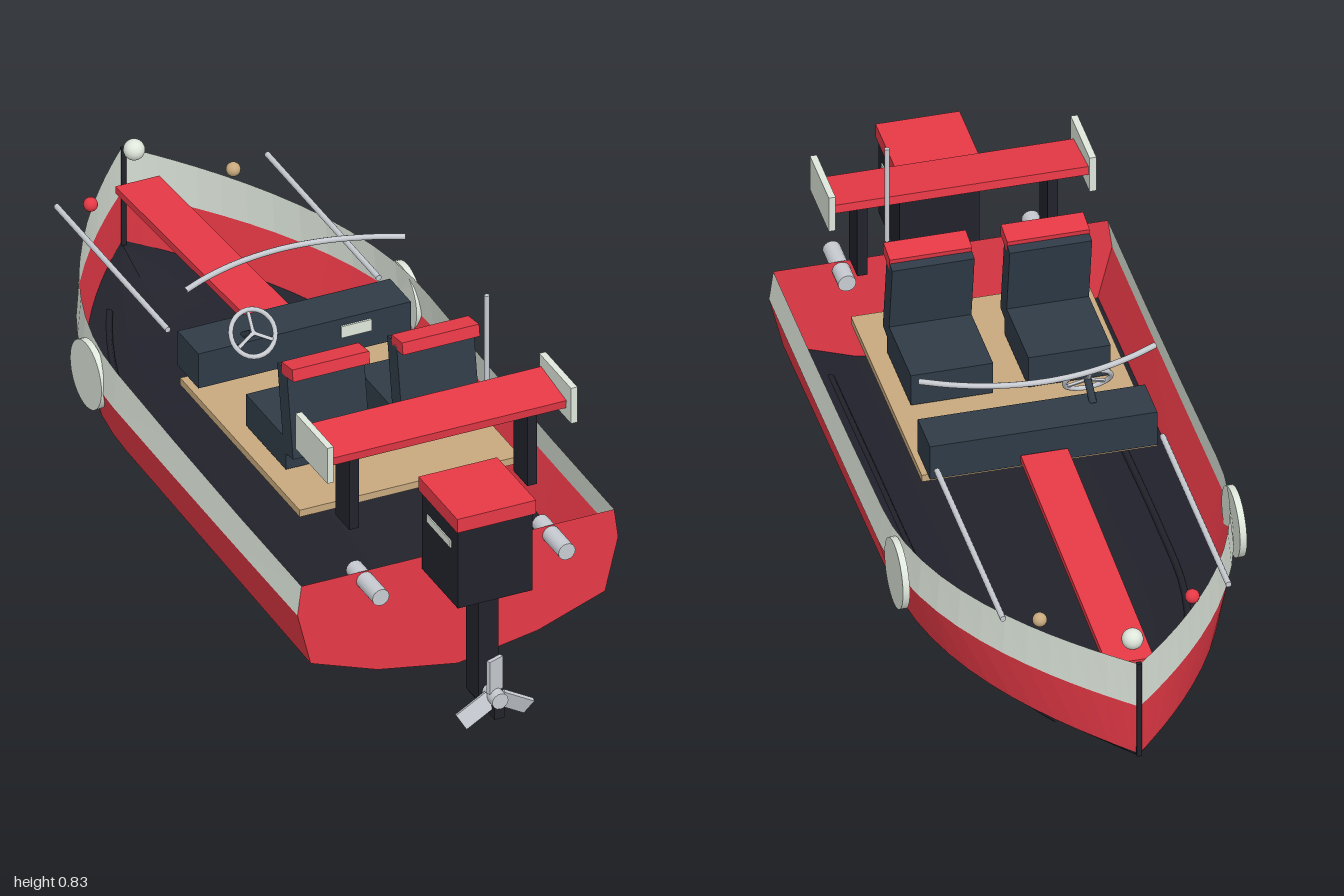
import * as THREE from 'three';

const mat = (name, color, side = THREE.FrontSide) => {
  const m = new THREE.MeshStandardMaterial({ color, side });
  m.name = name;
  return m;
};

export function createModel() {
  const red = mat('red', 0xe63946, THREE.DoubleSide);
  const white = mat('offWhite', 0xf1faee, THREE.DoubleSide);
  const black = mat('black', 0x22222c, THREE.DoubleSide);
  const slate = mat('slate', 0x2f3b47);
  const tan = mat('tan', 0xc8a97e);
  const metal = mat('metal', 0xc8ccd2);

  const boat = new THREE.Group();
  boat.name = 'speedboat';
  const add = (name, geo, material, x = 0, y = 0, z = 0, parent = boat) => {
    const m = new THREE.Mesh(geo, material);
    m.name = name;
    m.position.set(x, y, z);
    parent.add(m);
    return m;
  };
  // box given by its minimum and maximum on each axis
  const box = (name, material, x0, x1, y0, y1, z0, z1, parent = boat) =>
    add(name, new THREE.BoxGeometry(x1 - x0, y1 - y0, z1 - z0), material,
      (x0 + x1) / 2, (y0 + y1) / 2, (z0 + z1) / 2, parent);
  const rodZ = (name, material, r, x, y, z0, z1, sides = 16) => {
    const m = add(name, new THREE.CylinderGeometry(r, r, z1 - z0, sides), material, x, y, (z0 + z1) / 2);
    m.rotation.x = Math.PI / 2;
    return m;
  };

  // Hull: half section from gunwale to keel at any z
  const STERN = 0.775;
  const section = (z) => {
    const u = (STERN - z) / (STERN + 1);
    const t = Math.max(0, (-0.2 - z) / 0.8);
    const w = Math.max(0.006, 1 - t ** 2.05);
    const s = Math.max(0, (-0.65 - z) / 0.35);
    const keel = 0.045 + 0.045 * u + 0.08 * s ** 1.7;
    const chine = 0.14 + 0.04 * u;
    return [
      [0.39 * w, 0.35 + 0.078 * u * u],
      [0.4 * w, 0.275 + 0.035 * u * u],
      [0.367 * w, chine],
      [0.2 * w, chine + (keel - chine) * 0.63],
      [0, keel],
    ];
  };
  const stations = [STERN, 0.45, 0.1, -0.2];
  for (let i = 1; i <= 16; i++) stations.push(-0.2 - 0.8 * Math.sin((i / 16) * Math.PI / 2));
  const band = (name, material, from, to) => {
    const pos = [];
    for (const side of [1, -1]) {
      for (let i = 0; i < stations.length - 1; i++) {
        for (let j = from; j < to; j++) {
          const p = (k, n) => {
            const q = section(stations[k])[n];
            return [q[0] * side, q[1], stations[k]];
          };
          const [a, b, c, d] = [p(i, j), p(i, j + 1), p(i + 1, j + 1), p(i + 1, j)];
          const tris = side > 0 ? [a, b, c, a, c, d] : [a, c, b, a, d, c];
          pos.push(...tris.flat());
        }
      }
    }
    const g = new THREE.BufferGeometry();
    g.setAttribute('position', new THREE.Float32BufferAttribute(pos, 3));
    g.computeVertexNormals();
    add(name, g, material);
  };
  band('gunwaleBand', white, 0, 1);
  band('hullSides', red, 1, 2);
  band('hullBottom', black, 2, 4);

  // Transom closes the stern
  const half = section(STERN);
  const outline = [...half, ...half.slice(0, 4).reverse().map(([x, y]) => [-x, y])];
  const transom = new THREE.Shape(outline.map(([x, y]) => new THREE.Vector2(x, y)));
  add('transom', new THREE.ShapeGeometry(transom), red, 0, 0, STERN);
  box('stem', black, -0.006, 0.006, 0.172, 0.428, -1, -0.99);

  // Cockpit floor, foredeck stripe and dashboard
  box('cockpitFloor', tan, -0.275, 0.275, 0.363, 0.381, -0.11, 0.522);
  const stripe = add('foredeckStripe', new THREE.BoxGeometry(0.11, 0.018, 0.77), red, 0, 0.394, -0.535);
  stripe.rotation.x = -0.057;
  box('dashboard', slate, -0.265, 0.265, 0.392, 0.483, -0.145, -0.035);
  box('dashPanel', white, 0.09, 0.165, 0.435, 0.465, -0.036, -0.03);

  // Steering wheel
  const wheel = new THREE.Group();
  wheel.name = 'steeringWheel';
  wheel.position.set(-0.135, 0.512, -0.022);
  wheel.rotation.x = -0.6;
  boat.add(wheel);
  add('wheelRim', new THREE.TorusGeometry(0.054, 0.006, 8, 28), metal, 0, 0, 0, wheel);
  for (let i = 0; i < 3; i++) {
    const a = Math.PI / 2 + i * Math.PI * 2 / 3;
    const spoke = box('wheelSpoke', metal, -0.026, 0.026, -0.004, 0.004, -0.003, 0.003, wheel);
    spoke.position.set(Math.cos(a) * 0.026, Math.sin(a) * 0.026, 0);
    spoke.rotation.z = a;
  }
  const column = add('wheelColumn', new THREE.CylinderGeometry(0.009, 0.009, 0.06, 12), slate, 0, 0, -0.03, wheel);
  column.rotation.x = Math.PI / 2;

  // Curved windscreen rail
  const arc = new THREE.CatmullRomCurve3([-1, -0.75, -0.4, 0, 0.4, 0.75, 1].map(
    (k) => new THREE.Vector3(0.275 * k, 0.625, -0.157 + 0.072 * k * k)));
  add('windscreenRail', new THREE.TubeGeometry(arc, 32, 0.007, 8), metal);

  // Seats
  for (const s of [1, -1]) {
    const seat = new THREE.Group();
    seat.name = 'seat';
    seat.position.x = 0.137 * s;
    boat.add(seat);
    box('seatCushion', slate, -0.096, 0.096, 0.388, 0.47, 0.148, 0.36, seat);
    const back = add('seatBack', new THREE.BoxGeometry(0.192, 0.22, 0.05), slate, 0, 0.54, 0.356, seat);
    back.rotation.x = -0.16;
    const head = add('headrest', new THREE.BoxGeometry(0.192, 0.03, 0.058), red, 0, 0.65, 0.367, seat);
    head.rotation.x = -0.16;
  }

  // Stern arch with end plates and antenna
  const bar = add('archBar', new THREE.BoxGeometry(0.6, 0.021, 0.135), red, 0, 0.63, 0.653);
  bar.rotation.x = 0.12;
  for (const s of [1, -1]) {
    const post = box('archPost', black, -0.012, 0.012, 0.415, 0.622, 0.623, 0.697);
    post.position.x = 0.222 * s;
    const plate = box('archEndPlate', white, -0.008, 0.008, 0.585, 0.678, 0.578, 0.746);
    plate.position.x = 0.304 * s;
  }
  add('antenna', new THREE.CylinderGeometry(0.006, 0.006, 0.255, 10), metal, 0.19, 0.703, 0.525);

  // Paired hull fittings
  for (const s of [1, -1]) {
    rodZ('bowRail', metal, 0.007, 0.263 * s, 0.455, -0.79, -0.2, 10);
    rodZ('exhaustPipe', metal, 0.021, 0.232 * s, 0.326, 0.72, 0.86);
    const disc = add('sideDisc', new THREE.CylinderGeometry(0.083, 0.083, 0.016, 32), white, 0.393 * s, 0.294, -0.342);
    disc.rotation.z = Math.PI / 2;
    add('navLight', new THREE.SphereGeometry(0.017, 16, 12), s > 0 ? tan : red, 0.178 * s, 0.438, -0.79);
    const path = [0.67, 0.3, -0.1, -0.35, -0.55, -0.7, -0.78].map((z) => {
      const [, , c, l] = section(z);
      return new THREE.Vector3((c[0] + l[0]) / 2 * s, (c[1] + l[1]) / 2 - 0.003, z);
    });
    add('strake', new THREE.TubeGeometry(new THREE.CatmullRomCurve3(path), 24, 0.009, 6), black);
  }
  add('bowLight', new THREE.SphereGeometry(0.025, 20, 14), white, 0, 0.455, -0.937);

  // Outboard motor
  box('motorBody', black, -0.093, 0.093, 0.323, 0.53, 0.783, 0.972);
  box('motorCap', red, -0.098, 0.098, 0.528, 0.564, 0.775, 0.98);
  for (const s of [1, -1]) {
    const label = box('motorLabel', white, -0.002, 0.002, 0.465, 0.484, 0.812, 0.938);
    label.position.x = 0.094 * s;
  }
  box('motorLeg', black, -0.025, 0.025, 0.04, 0.325, 0.872, 0.936);
  box('skeg', black, -0.012, 0.012, 0.02, 0.052, 0.853, 0.995);
  rodZ('propellerHub', metal, 0.02, 0, 0.068, 0.945, 1.0);
  for (let i = 0; i < 3; i++) {
    const arm = new THREE.Group();
    arm.name = 'propellerBlade';
    arm.position.set(0, 0.068, 0.97);
    arm.rotation.z = i * Math.PI * 2 / 3;
    boat.add(arm);
    const blade = add('blade', new THREE.BoxGeometry(0.042, 0.085, 0.01), metal, 0, 0.055, 0, arm);
    blade.rotation.y = 0.35;
  }
  return boat;
}
